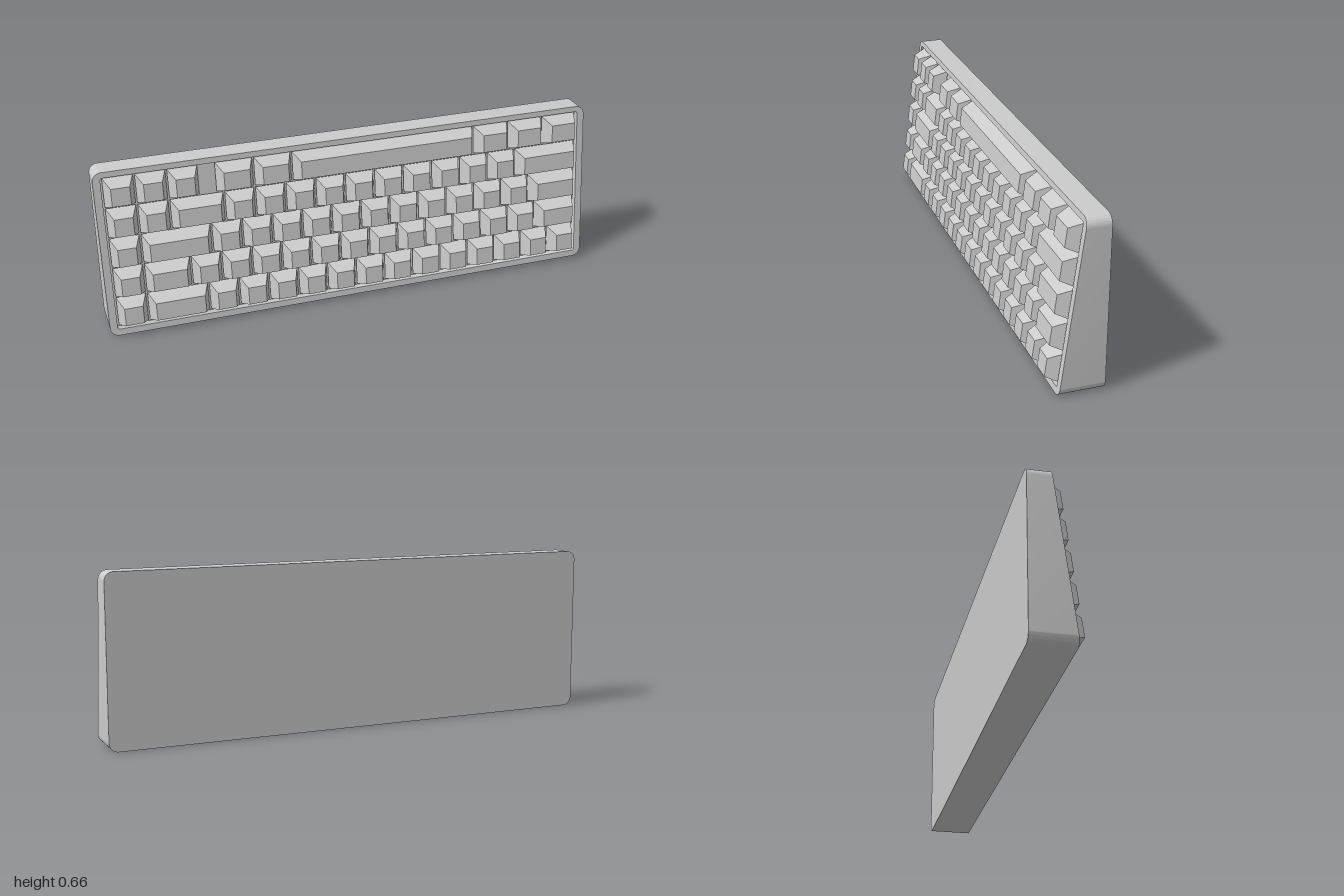
import * as THREE from 'three';
import { toCreasedNormals } from 'three/addons/utils/BufferGeometryUtils.js';

const HEIGHT = 0.658, BACK = -0.1, FRONT = 0.07, SLOPE = 0.126;
const UNIT = 0.1208, GAP = 0.0063;
const tilt = -Math.atan(SLOPE);

// Key widths in units from -x to +x, lowest row first; negative means an empty space
const ones = (n) => Array(n).fill(1);
const ROWS = [
  [1, 2, ...ones(13)],
  [1, 1.5, ...ones(12), 1.5],
  [1, 2.25, ...ones(11), 1.75],
  [1, 1, 1.75, ...ones(10), 2.25],
  [1, 1, 1, -0.5, 1.25, 1.25, 6.25, 1.25, 1.25, 1.25],
];

function roundedRect(target, x0, y0, x1, y1, r) {
  target.moveTo(x0 + r, y0);
  target.lineTo(x1 - r, y0);
  target.absarc(x1 - r, y0 + r, r, -Math.PI / 2, 0);
  target.lineTo(x1, y1 - r);
  target.absarc(x1 - r, y1 - r, r, 0, Math.PI / 2);
  target.lineTo(x0 + r, y1);
  target.absarc(x0 + r, y1 - r, r, Math.PI / 2, Math.PI);
  target.lineTo(x0, y0 + r);
  target.absarc(x0 + r, y0 + r, r, Math.PI, Math.PI * 1.5);
  return target;
}

// Extrude from the flat back up to the sloping front plane, sunk by the given amount
function wedge(shape, sink) {
  const geo = new THREE.ExtrudeGeometry(shape, { depth: 1, bevelEnabled: false, curveSegments: 8 });
  const p = geo.attributes.position;
  for (let i = 0; i < p.count; i++) {
    p.setZ(i, p.getZ(i) > 0.5 ? FRONT - SLOPE * p.getY(i) - sink : BACK);
  }
  return toCreasedNormals(geo, 0.6);
}

// Tapered keycap whose top is shifted slightly downwards
function keycapGeometry(units) {
  const w = units * UNIT - GAP, h = UNIT - GAP;
  const geo = new THREE.BoxGeometry(w, h, 0.055);
  const p = geo.attributes.position;
  for (let i = 0; i < p.count; i++) {
    if (p.getZ(i) < 0) continue;
    p.setX(i, Math.sign(p.getX(i)) * (w / 2 - 0.022));
    p.setY(i, Math.sign(p.getY(i)) * 0.0352 - 0.007);
  }
  geo.translate(0, 0, 0.0105);
  geo.computeVertexNormals();
  return geo;
}

export function createModel() {
  const model = new THREE.Group();
  model.name = 'keyboard';
  const material = new THREE.MeshStandardMaterial({ color: 0xcccccc });
  const add = (parent, name, geo) => {
    const mesh = new THREE.Mesh(geo, material);
    mesh.name = name;
    parent.add(mesh);
    return mesh;
  };

  // Case frame with an opening, and the recessed plate inside it
  const opening = [-0.971, 0.026, 0.971, 0.636, 0.008];
  const outline = roundedRect(new THREE.Shape(), -1, 0, 1, HEIGHT, 0.035);
  outline.holes.push(roundedRect(new THREE.Path(), ...opening));
  add(model, 'caseFrame', wedge(outline, 0));
  add(model, 'switchPlate', wedge(roundedRect(new THREE.Shape(), ...opening), 0.025));

  // Keys laid out on the sloping front
  const keys = new THREE.Group();
  keys.name = 'keys';
  keys.position.z = FRONT;
  keys.rotation.x = tilt;
  model.add(keys);
  const cache = {};
  ROWS.forEach((row, r) => {
    const group = new THREE.Group();
    group.name = `keyRow${r + 1}`;
    group.position.y = 0.0949 + r * 0.121;
    keys.add(group);
    let x = -8 * UNIT;
    for (const units of row) {
      const span = Math.abs(units) * UNIT;
      if (units > 0) {
        cache[units] ??= keycapGeometry(units);
        add(group, units > 6 ? 'spaceBar' : 'keycap', cache[units]).position.x = x + span / 2;
      }
      x += span;
    }
  });
  return model;
}
